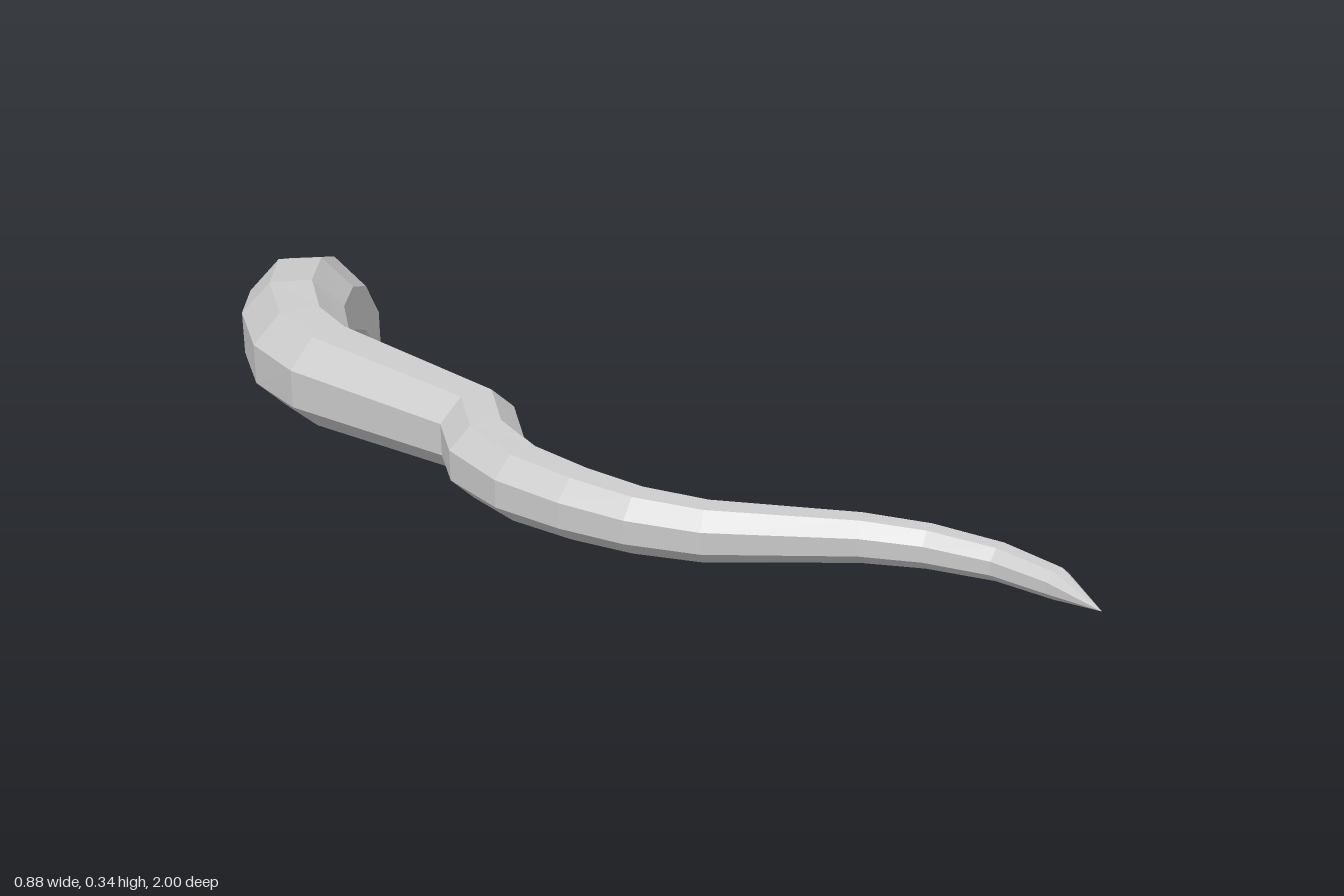
import * as THREE from 'three';

const SIDES = 8;

// Centre line of the tentacle, root to tip: x, y, z, radius
const SECTIONS = [
  [-0.167, 0.01, -0.89, 0.117],
  [-0.18, 0.115, -0.85, 0.112],
  [-0.22, 0.19, -0.78, 0.106],
  [-0.27, 0.233, -0.685, 0.1],
  [-0.325, 0.246, -0.57, 0.097],
  [-0.353, 0.247, -0.445, 0.093],
  [-0.338, 0.247, -0.34, 0.089],
  [-0.192, 0.247, -0.02, 0.074],
  [-0.22, 0.247, 0.095, 0.07],
  [-0.202, 0.247, 0.21, 0.064],
  [-0.15, 0.247, 0.32, 0.059],
  [-0.088, 0.247, 0.415, 0.054],
  [-0.005, 0.247, 0.495, 0.05],
  [0.21, 0.247, 0.61, 0.04],
  [0.295, 0.247, 0.68, 0.036],
  [0.37, 0.247, 0.775, 0.031],
  [0.415, 0.247, 0.88, 0.026],
  [0.43, 0.247, 0.995, 0],
];

// Sweeps a tapering polygon along the sections, carrying its frame without twist
function sweep(sections, sides) {
  const points = sections.map(([x, y, z]) => new THREE.Vector3(x, y, z));
  const last = points.length - 1;
  const step = (i) => points[i + 1].clone().sub(points[i]).normalize();

  const tangent = new THREE.Vector3(0, 1, 0.09).normalize();
  const normal = new THREE.Vector3(0, 0.09, -1).normalize();
  const turn = new THREE.Quaternion();
  const positions = [];
  const index = [];

  points.forEach((p, i) => {
    if (i > 0) {
      const next = step(i - 1);
      if (i < last) next.add(step(i)).normalize();
      normal.applyQuaternion(turn.setFromUnitVectors(tangent, next));
      tangent.copy(next);
    }
    const side = tangent.clone().cross(normal);
    for (let j = 0; j < sides; j++) {
      const a = (j / sides) * Math.PI * 2;
      const v = p.clone()
        .addScaledVector(normal, Math.cos(a) * sections[i][3])
        .addScaledVector(side, Math.sin(a) * sections[i][3]);
      positions.push(v.x, v.y, v.z);
    }
  });

  for (let i = 0; i < last; i++) {
    for (let j = 0; j < sides; j++) {
      const k = (j + 1) % sides;
      const a = i * sides + j, b = i * sides + k;
      const c = a + sides, d = b + sides;
      index.push(a, b, c);
      if (i < last - 1) index.push(b, d, c); // the tip closes to a point
    }
  }

  const indexed = new THREE.BufferGeometry();
  indexed.setAttribute('position', new THREE.Float32BufferAttribute(positions, 3));
  indexed.setIndex(index);
  const geometry = indexed.toNonIndexed();
  geometry.computeVertexNormals();
  return geometry;
}

export function createModel() {
  const group = new THREE.Group();
  group.name = 'tentacle';

  // Open at the root, so both faces show
  const material = new THREE.MeshStandardMaterial({
    color: 0xcccccc,
    flatShading: true,
    side: THREE.DoubleSide,
  });
  const body = new THREE.Mesh(sweep(SECTIONS, SIDES), material);
  body.name = 'tentacleBody';
  group.add(body);

  return group;
}
